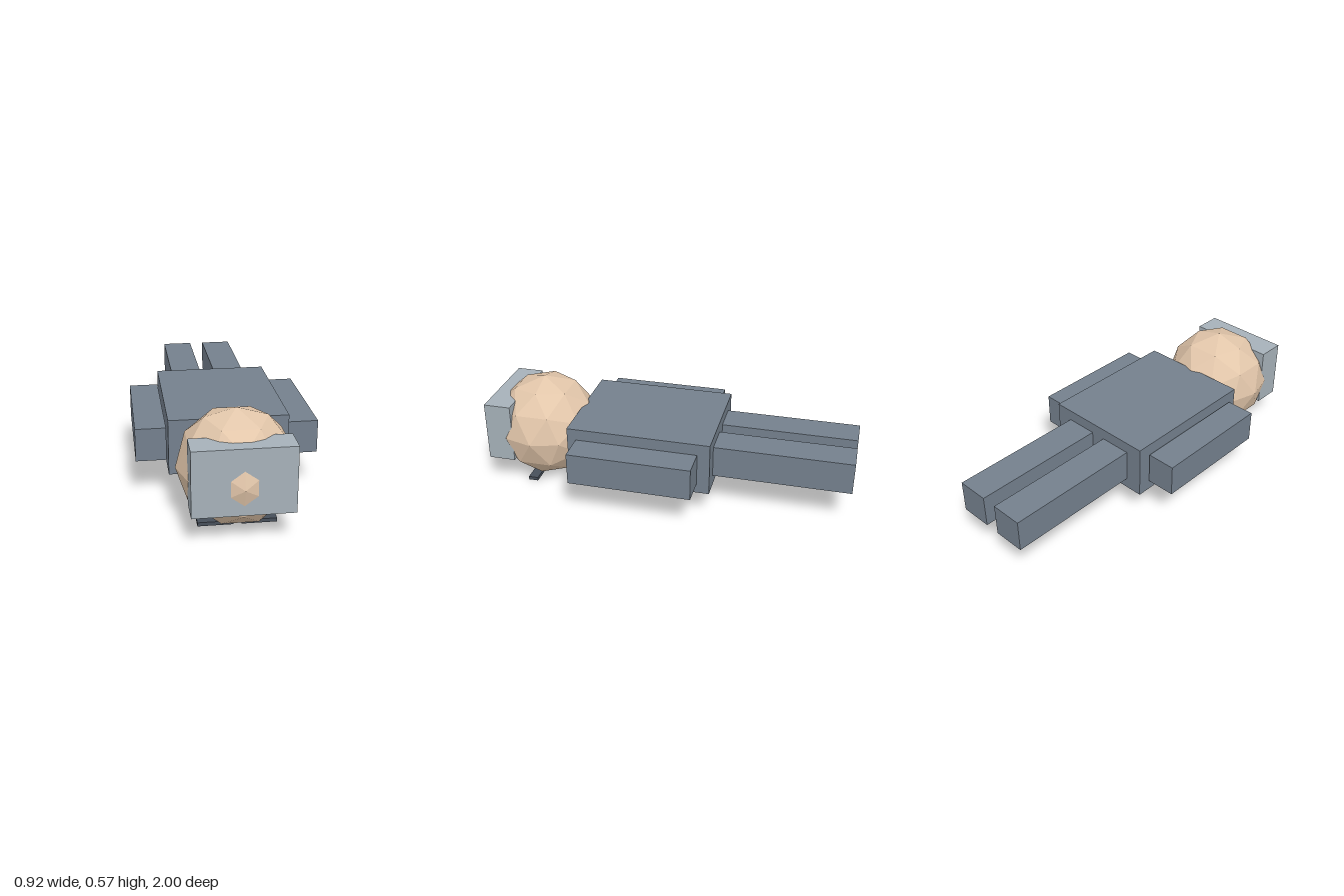
import * as THREE from 'three';

const material = (color) => new THREE.MeshStandardMaterial({ color, flatShading: true });

export function createModel() {
  const model = new THREE.Group();
  model.name = 'lyingFigure';

  const suit = material(0x74808d);
  const skin = material(0xe2c6aa);
  const hatGrey = material(0xa6b1b9);
  const lens = material(0x474f5a);
  const shirtWhite = material(0xe6e6e0);
  const gold = material(0xb8901c);

  // Box given by its extents along each axis
  function block(name, mat, [x0, x1], [y0, y1], [z0, z1]) {
    const mesh = new THREE.Mesh(new THREE.BoxGeometry(x1 - x0, y1 - y0, z1 - z0), mat);
    mesh.position.set((x0 + x1) / 2, (y0 + y1) / 2, (z0 + z1) / 2);
    mesh.name = name;
    model.add(mesh);
  }

  // Faceted head, face turned to the ground
  const head = new THREE.Mesh(new THREE.IcosahedronGeometry(0.287, 1), skin);
  head.name = 'head';
  head.position.set(0, 0.288, 0.713);
  model.add(head);

  // Hat on the crown, torso, shirt front and tie underneath
  block('hat', hatGrey, [-0.24, 0.24], [0.155, 0.48], [0.83, 0.976]);
  block('torso', suit, [-0.3, 0.3], [0.146, 0.433], [-0.277, 0.488]);
  block('shirtFront', shirtWhite, [-0.083, 0.083], [0.127, 0.15], [-0.106, 0.456]);
  block('tie', gold, [-0.029, 0.029], [0.121, 0.14], [-0.036, 0.348]);

  // Paired limbs and glasses
  for (const [side, s] of [['left', 1], ['right', -1]]) {
    const span = (a, b) => (s > 0 ? [a, b] : [-b, -a]);
    block(side + 'Arm', suit, span(0.306, 0.46), [0.204, 0.375], [-0.212, 0.438]);
    block(side + 'Leg', suit, span(0.04, 0.209), [0.204, 0.375], [-1, -0.277]);
    block(side + 'Lens', lens, span(0.02, 0.191), [0.006, 0.025], [0.725, 0.778]);
  }

  return model;
}
